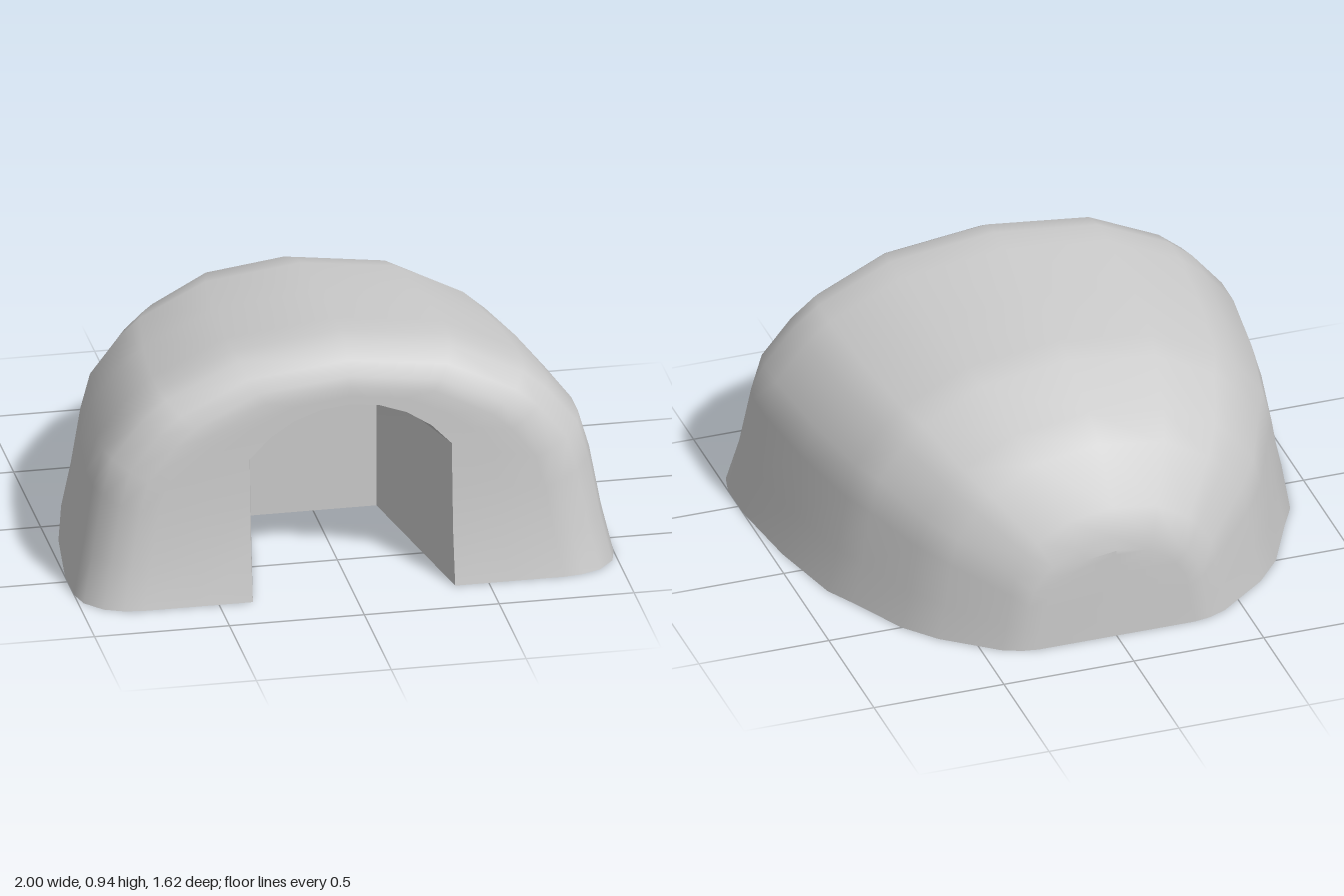
import * as THREE from 'three';
import { toCreasedNormals } from 'three/addons/utils/BufferGeometryUtils.js';

const material = new THREE.MeshStandardMaterial({ color: 0xcccccc, side: THREE.DoubleSide });

// Half of the domed cross-section, floor to crown, as fractions of half width and height
const DOME = [[1, 0], [0.96, 0.19], [0.92, 0.43], [0.88, 0.58], [0.765, 0.73], [0.675, 0.81], [0.4, 0.95], [0, 1]];

// Body stations from back to front: z, half width, height
const STATIONS = [
  [-0.81, 0, 0.36], [-0.81, 0.3, 0.36], [-0.8, 0.36, 0.41], [-0.77, 0.43, 0.52],
  [-0.62, 0.62, 0.7], [-0.5, 0.72, 0.77], [-0.28, 0.83, 0.865], [-0.17, 0.89, 0.89],
  [0.13, 0.96, 0.915], [0.45, 1, 0.935], [0.62, 1, 0.937], [0.7, 0.98, 0.925],
  [0.77, 0.92, 0.88], [0.8, 0.85, 0.83], [0.81, 0.78, 0.79],
];

// The front wall leans back with height, steepest near the floor
function lean(y) {
  if (y < 0.17) return -0.035 * y / 0.17;
  if (y < 0.4) return -0.035 - 0.02 * (y - 0.17) / 0.23;
  return -0.055 - 0.015 * Math.min(1, (y - 0.4) / 0.4);
}

// Mirror a half outline into a full arch running from +x over the top to -x
function arch(half, z, leanAmount = 0) {
  const full = [...half, ...half.slice(0, -1).reverse().map(([x, y]) => [-x, y])];
  return full.map(([x, y]) => [x, y, z + leanAmount * lean(y)]);
}

// Half outline of a doorway: straight jamb, then a circular arc to the crown
function doorHalf(halfWidth, spring, top) {
  const rise = top - spring;
  const radius = (halfWidth ** 2 + rise ** 2) / (2 * rise);
  const sweep = Math.asin(halfWidth / radius);
  const points = [0, 0.34, 0.7].map((t) => [halfWidth, spring * t]);
  for (let i = 0; i <= 4; i++) {
    const a = sweep * (1 - i / 4);
    points.push([radius * Math.sin(a), top - radius + radius * Math.cos(a)]);
  }
  return points;
}

// Skin a list of equal-length rings
function loft(rings) {
  const n = rings[0].length;
  const index = [];
  for (let i = 0; i < rings.length - 1; i++) {
    for (let j = 0; j < n - 1; j++) {
      const a = i * n + j, b = a + 1, c = a + n, d = c + 1;
      index.push(a, b, c, b, d, c);
    }
  }
  const geometry = new THREE.BufferGeometry();
  geometry.setAttribute('position', new THREE.Float32BufferAttribute(rings.flat(2), 3));
  geometry.setIndex(index);
  geometry.computeVertexNormals();
  return geometry;
}

export function createModel() {
  const group = new THREE.Group();
  group.name = 'domedShelter';
  const add = (name, geometry) => {
    const mesh = new THREE.Mesh(geometry, material);
    mesh.name = name;
    group.add(mesh);
  };

  const outerDoor = doorHalf(0.375, 0.54, 0.725);
  const innerDoor = doorHalf(0.235, 0.475, 0.59);

  // Shell with rounded front rim, and front wall around the doorway
  const rings = STATIONS.map(([z, w, h]) => {
    const amount = THREE.MathUtils.clamp((z - 0.38) / 0.24, 0, 1);
    return arch(DOME.map(([x, y]) => [x * w, y * h]), z, amount);
  });
  const [, frontW, frontH] = STATIONS[STATIONS.length - 1];
  for (const t of [0.5, 1]) {
    const half = DOME.map(([x, y], i) => [
      THREE.MathUtils.lerp(x * frontW, outerDoor[i][0], t),
      THREE.MathUtils.lerp(y * frontH, outerDoor[i][1], t),
    ]);
    rings.push(arch(half, 0.81, 1));
  }
  add('shell', loft(rings));

  // Entrance passage narrowing inwards
  const passage = loft([arch(outerDoor, 0.81, 1), arch(innerDoor, 0.05)]);
  add('entrancePassage', toCreasedNormals(passage, 0.4));

  // Flat wall closing the passage
  add('passageEndWall', loft([arch(innerDoor, 0.05), arch(innerDoor.map(([, y]) => [0, y]), 0.05)]));

  return group;
}
